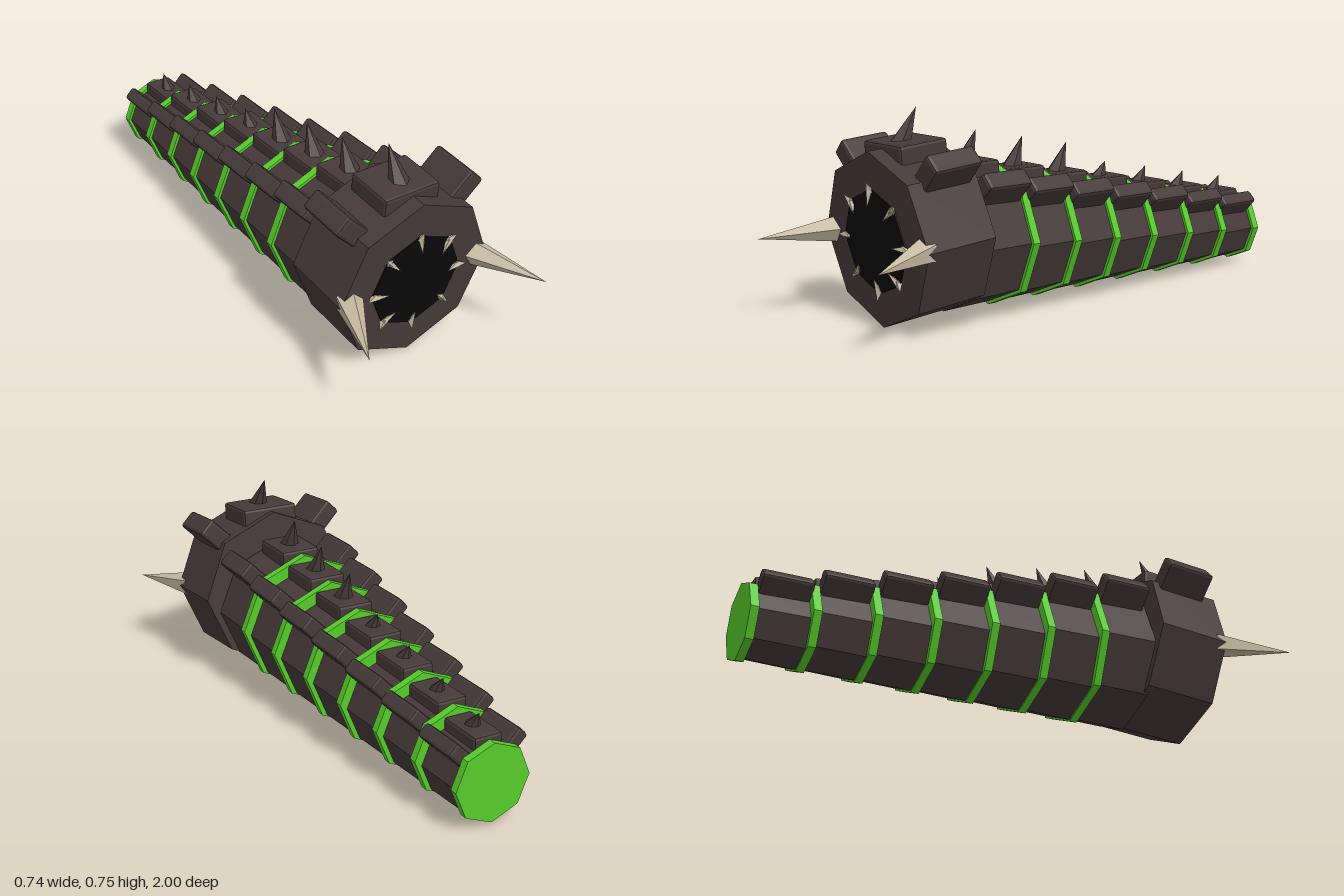
import * as THREE from 'three';
import { RoundedBoxGeometry } from 'three/addons/geometries/RoundedBoxGeometry.js';

const flat = (name, color) => {
  const m = new THREE.MeshStandardMaterial({ color, flatShading: true });
  m.name = name;
  return m;
};

export function createModel() {
  const model = new THREE.Group();
  model.name = 'segmentedWorm';
  const hide = flat('dark brown hide', 0x463a39);
  const green = flat('bright green', 0x57cc2b);
  const bone = flat('bone', 0xc6baa0);
  const black = flat('mouth black', 0x0a0a0a);

  function add(parent, name, geometry, material, x = 0, y = 0, z = 0) {
    const mesh = new THREE.Mesh(geometry, material);
    mesh.name = name;
    mesh.position.set(x, y, z);
    parent.add(mesh);
    return mesh;
  }

  // Eight-sided drum lying along z, with a corner at the top
  const drum = (front, back, length) =>
    new THREE.CylinderGeometry(front, back, length, 8).rotateX(Math.PI / 2);

  // Pointed cone from a base point to a tip
  function spike(parent, name, from, to, radius, sides, material) {
    const a = new THREE.Vector3(...from), b = new THREE.Vector3(...to);
    const dir = b.clone().sub(a);
    const mid = a.clone().add(b).multiplyScalar(0.5);
    const mesh = add(parent, name, new THREE.ConeGeometry(radius, dir.length(), sides), material, mid.x, mid.y, mid.z);
    mesh.quaternion.setFromUnitVectors(new THREE.Vector3(0, 1, 0), dir.normalize());
  }

  // One flat plate on top and a raised fin on each upper side
  function armour(parent, w, h, d, top, side, sideY, z) {
    const plate = () => new RoundedBoxGeometry(w, h, d, 1, 0.011);
    add(parent, 'topPlate', plate(), hide, 0, top - h / 2, z);
    for (const s of [1, -1]) {
      const fin = add(parent, s > 0 ? 'leftFin' : 'rightFin', plate(), hide, s * side, sideY, z);
      fin.rotation.z = s * Math.PI / 4;
    }
  }

  // Head, tipped slightly downwards
  const head = new THREE.Group();
  head.name = 'head';
  head.position.set(0, 0.322, 0.624);
  head.rotation.x = 0.085;
  model.add(head);
  add(head, 'headShell', drum(0.306, 0.306, 0.274), hide);
  armour(head, 0.225, 0.075, 0.19, 0.323, 0.2, 0.207, -0.015);
  spike(head, 'headSpike', [0, 0.303, 0.006], [0, 0.425, -0.072], 0.04, 6, hide);

  // Mouth with eight pairs of teeth around its rim
  add(head, 'mouth', drum(0.183, 0.183, 0.008), black, 0, -0.003, 0.138);
  for (let i = 0; i < 8; i++) {
    const a = i * Math.PI / 4;
    const at = (r, z) => [r * Math.cos(a), r * Math.sin(a) - 0.003, z];
    spike(head, 'innerTooth', at(0.176, 0.144), at(0.122, 0.16), 0.013, 4, bone);
    spike(head, 'outerTooth', at(0.172, 0.142), at(0.208, 0.155), 0.015, 4, bone);
  }

  // Long horns beside the mouth
  for (const s of [1, -1]) {
    spike(model, s > 0 ? 'leftHorn' : 'rightHorn', [s * 0.26, 0.314, 0.74], [s * 0.37, 0.29, 1], 0.049, 5, bone);
  }

  // Seven tapering body segments, each ending in a green ring
  for (let i = 0; i < 7; i++) {
    const segment = new THREE.Group();
    segment.name = 'bodySegment' + (i + 1);
    const r = 0.261 - i * 0.0198;
    segment.position.set(0, 0.016 + r, 0.272 - i * 0.2095);
    model.add(segment);
    add(segment, 'segmentShell', drum(r - 0.006, r - 0.012, 0.209), hide, 0, 0, 0.109);
    add(segment, 'ring', drum(r, r, 0.03), green);
    const top = r + 0.014;
    armour(segment, 0.05 + 0.4 * r, 0.035 + 0.13 * r, 0.183, top, 0.7 * r, 0.7 * r, 0.108);
    const tall = i < 3;
    spike(segment, 'backSpike', [0, top - 0.018, 0.115], [0, top + (tall ? 0.102 : 0.052), tall ? 0.064 : 0.076],
      tall ? 0.04 : 0.034, 6, hide);
  }
  return model;
}
